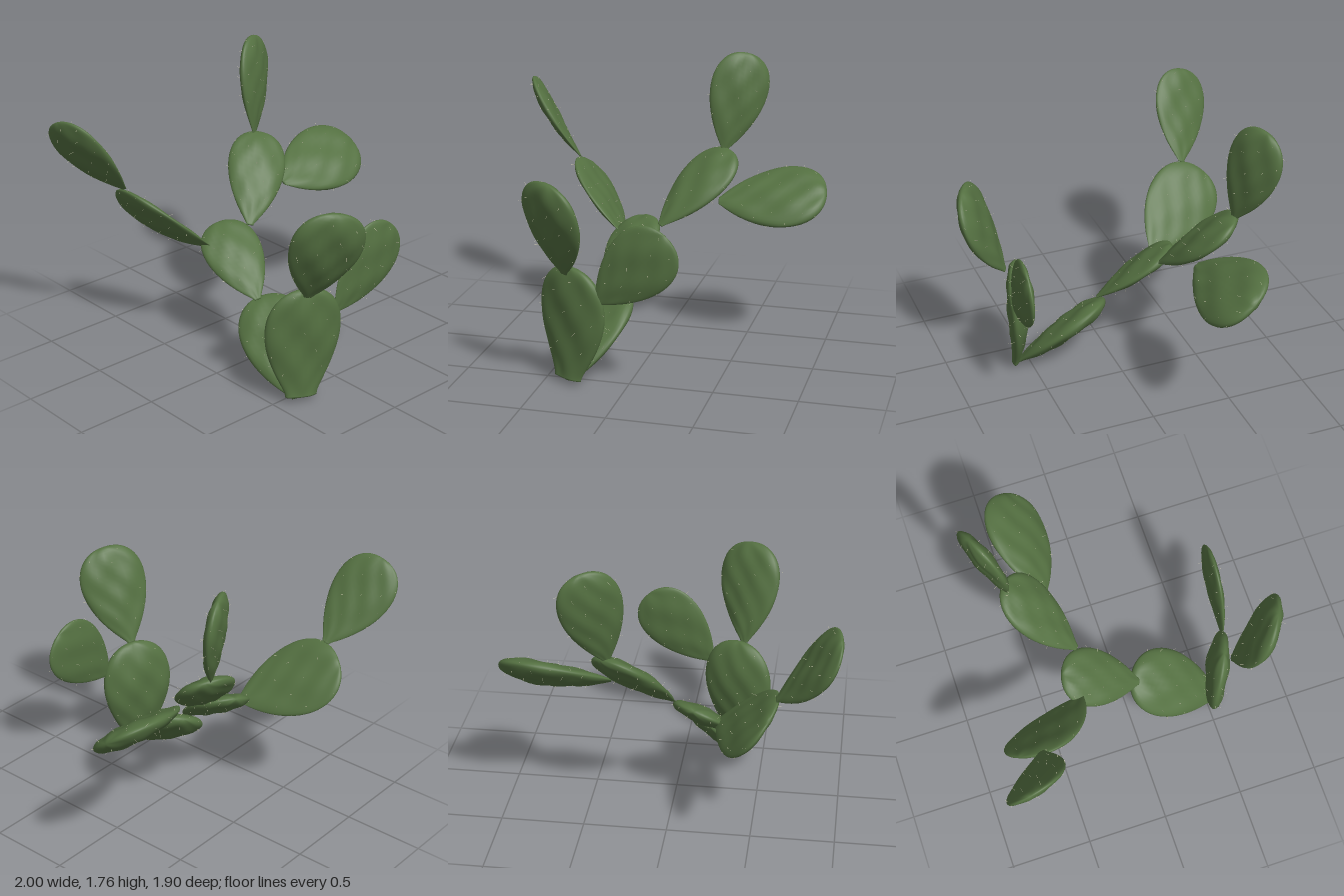
import * as THREE from 'three';
import { mergeVertices, mergeGeometries } from 'three/addons/utils/BufferGeometryUtils.js';

// Each pad: base and tip points, direction across its broad face, width, thickness,
// taper (higher = narrower base), neck (relative width at the base) and bend out of its plane
const PADS = [
  { name: 'frontTrunkPad', base: [-0.35, 0.02, 0.58], tip: [-0.32, 0.71, 0.59], across: [0.43, 0, 0.18], width: 0.465, thick: 0.13, taper: 0.25, neck: 0.42, bend: -0.03 },
  { name: 'backTrunkPad', base: [-0.34, 0.0, 0.56], tip: [-0.18, 0.415, 0.05], across: [0.4, 0.23, 0.06], width: 0.43, thick: 0.13, taper: 0.3, neck: 0.22 },
  { name: 'frontUpperPad', base: [-0.35, 0.68, 0.63], tip: [-0.365, 1.275, 0.87], across: [0.4, 0, 0.23], width: 0.43, thick: 0.12, bend: 0.015 },
  { name: 'frontSidePad', base: [-0.15, 0.53, 0.65], tip: [0.275, 0.955, 0.68], across: [-0.7, 0.7, -0.03], width: 0.4, thick: 0.07 },
  { name: 'middlePad', base: [-0.235, 0.42, 0.08], tip: [-0.145, 0.745, -0.385], across: [0.9, 0.29, 0.15], width: 0.36, thick: 0.1 },
  { name: 'rightBranchPad', base: [-0.28, 0.65, -0.31], tip: [-0.61, 0.95, -0.79], across: [-0.3, 0.37, 0.13], width: 0.46, thick: 0.08, taper: 0.33, bend: 0.022 },
  { name: 'rightEndPad', base: [-0.64, 1.02, -0.66], tip: [-0.99, 1.49, -0.81], across: [0.1, 0.05, 0.37], width: 0.38, thick: 0.08, bend: 0.022 },
  { name: 'leftBranchPad', base: [-0.01, 0.73, -0.245], tip: [0.365, 1.15, -0.565], across: [0.33, -0.06, 0.22], width: 0.36, thick: 0.11 },
  { name: 'leftTopPad', base: [0.32, 1.15, -0.57], tip: [0.435, 1.74, -0.7], across: [0.34, 0, -0.16], width: 0.37, thick: 0.1 },
  { name: 'leftSidePad', base: [0.34, 0.89, -0.33], tip: [0.995, 0.98, -0.385], across: [0.03, 0.27, -0.34], width: 0.45, thick: 0.12, taper: 0.33, bend: 0.015 },
];

// Egg-shaped half width, 0 to 1, at fraction t from base to tip, with a soft neck
function padRadius(t, taper, neck) {
  const peak = (0.45 + taper) / (0.9 + taper);
  const egg = (s) => Math.pow(Math.max(0, s * (1 - s)), 0.45) * Math.pow(s, taper);
  const r = egg(t) / egg(peak);
  return Math.hypot(r, neck * Math.max(0, 1 - 2.5 * t));
}

// Matrix with x across the broad face, y from base to tip, z out of the face
function padFrame({ base, tip, across }) {
  const origin = new THREE.Vector3(...base);
  const axis = new THREE.Vector3(...tip).sub(origin).normalize();
  const w = new THREE.Vector3(...across);
  w.addScaledVector(axis, -w.dot(axis)).normalize();
  const n = new THREE.Vector3().crossVectors(w, axis);
  return new THREE.Matrix4().makeBasis(w, axis, n).setPosition(origin);
}

const padLength = ({ base, tip }) => new THREE.Vector3(...base).distanceTo(new THREE.Vector3(...tip));

// Point on a pad: c and s are the cosine and sine around its axis
function padPoint(pad, t, c, s, dent = 1) {
  const { width, thick, taper = 0.4, neck = 0.12, bend = 0 } = pad;
  const r = padRadius(t, taper, neck);
  return new THREE.Vector3(
    c * r * width / 2,
    t * padLength(pad),
    s * r * thick / 2 * dent + bend * 4 * t * (1 - t),
  );
}

// Flattened, gently dented sphere shaped by the egg profile
function padGeometry(pad, seed) {
  let geo = new THREE.SphereGeometry(1, 36, 28);
  geo.deleteAttribute('uv');
  geo.deleteAttribute('normal');
  const p = geo.attributes.position;
  for (let i = 0; i < p.count; i++) {
    const t = (p.getY(i) + 1) / 2;
    const ring = Math.hypot(p.getX(i), p.getZ(i));
    const c = ring < 1e-4 ? 0 : p.getX(i) / ring;
    const s = ring < 1e-4 ? 0 : p.getZ(i) / ring;
    const dent = 1 + 0.09 * Math.sin(11 * t + 5 * c + seed) + 0.07 * Math.sin(17 * t - 8 * c + 2 * seed);
    const v = padPoint(pad, t, c, s, dent);
    p.setXYZ(i, v.x, v.y, v.z);
  }
  geo = mergeVertices(geo, 1e-5);
  geo.computeVertexNormals();
  return geo;
}

// Short thin spines scattered over both faces and the rim
function spineGeometry(pad, seed) {
  const up = new THREE.Vector3(0, 1, 0);
  const spines = [];
  const count = 36;
  for (let i = 0; i < count; i++) {
    const t = 0.2 + 0.76 * (i + 0.5) / count;
    const a = i * 2.4 + seed;
    const c = Math.cos(a);
    const s = Math.sin(a);
    // Lean each spine a little so it also shows from straight ahead
    const lean = 0.5 * Math.sin(i * 5.1 + seed);
    const out = new THREE.Vector3(c / pad.width, 0, s / pad.thick).normalize();
    out.add(new THREE.Vector3(lean, 0.5 * Math.cos(i * 3.7), 0)).normalize();
    const spine = new THREE.ConeGeometry(0.0013, 0.03, 3);
    spine.translate(0, 0.012, 0);
    spine.applyQuaternion(new THREE.Quaternion().setFromUnitVectors(up, out));
    const root = padPoint(pad, t, c, s);
    spine.translate(root.x, root.y, root.z);
    spines.push(spine);
  }
  return mergeGeometries(spines);
}

export function createModel() {
  const model = new THREE.Group();
  model.name = 'cactus';
  const green = new THREE.MeshStandardMaterial({ color: 0x547041 });
  green.name = 'cactus green';
  const straw = new THREE.MeshStandardMaterial({ color: 0xe2dcc0 });
  straw.name = 'spine straw';

  PADS.forEach((pad, i) => {
    const group = new THREE.Group();
    group.name = pad.name;
    const body = new THREE.Mesh(padGeometry(pad, i * 1.7), green);
    body.name = 'padBody';
    const spines = new THREE.Mesh(spineGeometry(pad, i * 0.9), straw);
    spines.name = 'spines';
    group.add(body, spines);
    group.applyMatrix4(padFrame(pad));
    model.add(group);
  });
  return model;
}
